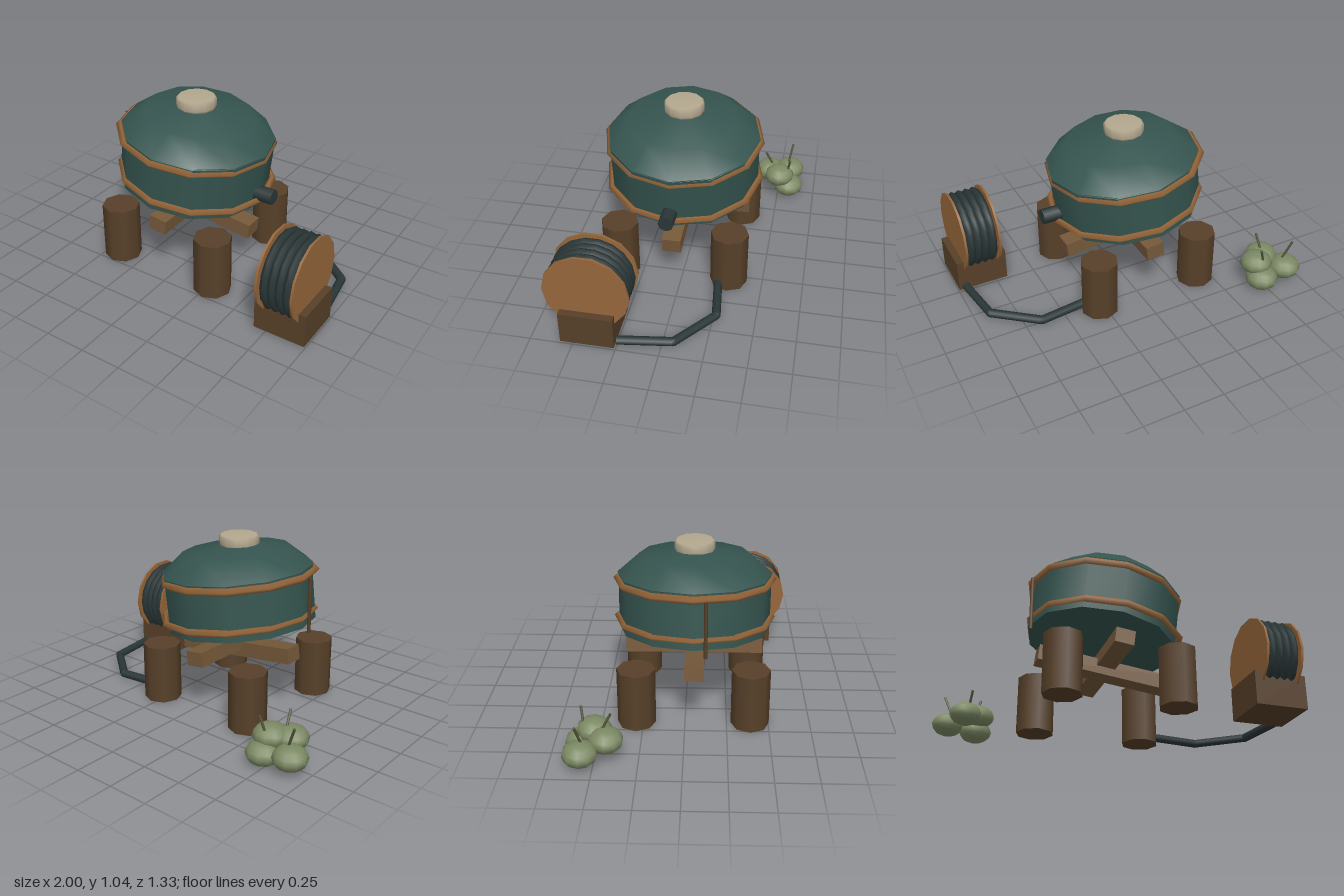
import * as THREE from 'three';

const mat = (name, color) => {
  const m = new THREE.MeshStandardMaterial({ color });
  m.name = name;
  return m;
};

export function createModel() {
  const teal = mat('teal enamel', 0x35544f);
  const copper = mat('copper', 0x96663a);
  const timber = mat('dark timber', 0x574029);
  const beamWood = mat('beam wood', 0x755839);
  const rubber = mat('black rubber', 0x2a3637);
  const bone = mat('pale lid', 0xb3a78e);
  const green = mat('gourd green', 0x7b8963);
  const stemMat = mat('stem', 0x56573f);

  const model = new THREE.Group();
  const add = (name, geo, material, x = 0, y = 0, z = 0, parent = model) => {
    const mesh = new THREE.Mesh(geo, material);
    mesh.name = name;
    mesh.position.set(x, y, z);
    parent.add(mesh);
    return mesh;
  };
  // Straight round bar between two points
  const bar = (name, a, b, r, material, sides = 8) => {
    const p = new THREE.Vector3(...a), q = new THREE.Vector3(...b);
    const d = q.clone().sub(p);
    const mesh = add(name, new THREE.CylinderGeometry(r, r, d.length(), sides), material);
    mesh.position.copy(p).add(q).multiplyScalar(0.5);
    mesh.quaternion.setFromUnitVectors(new THREE.Vector3(0, 1, 0), d.normalize());
    return mesh;
  };
  const lathe = (pts, sides) =>
    new THREE.LatheGeometry(pts.map(p => new THREE.Vector2(...p)), sides);

  const CX = -0.06, CZ = 0.05, TILT = -0.122;

  // Leaning tank with a domed top
  const body = add('tankBody', new THREE.CylinderGeometry(0.462, 0.46, 0.34, 12), teal, CX, 0.665, CZ);
  const dome = add('tankDome', lathe([[0.462, -0.005], [0.468, 0], [0.33, 0.12], [0, 0.17]], 12),
    teal, -0.045, 0.83, CZ);
  dome.material.side = THREE.DoubleSide;
  body.rotation.z = dome.rotation.z = TILT;

  // Hoops around the tank
  for (const [name, y] of [['lowerHoop', 0.55], ['upperHoop', 0.8]]) {
    const geo = new THREE.TorusGeometry(0.468, 0.023, 4, 12).rotateX(Math.PI / 2);
    add(name, geo, copper, CX, y, CZ).rotation.z = TILT;
  }

  // Lid, spout and side rod
  add('lid', lathe([[0, -0.035], [0.115, -0.035], [0.122, -0.02], [0.122, 0.022], [0.11, 0.033], [0, 0.033]], 12),
    bone, CX, 1.012, CZ);
  add('spout', new THREE.CylinderGeometry(0.047, 0.047, 0.13, 8).rotateZ(Math.PI / 2), rubber, 0.427, 0.532, 0.057);
  bar('sideRod', [-0.535, 0.505, 0.12], [-0.535, 0.85, 0.12], 0.011, timber, 6);

  // Four posts
  for (const sx of [-1, 1]) for (const sz of [-1, 1])
    add('post', new THREE.CylinderGeometry(0.115, 0.115, 0.36, 8), timber, CX + sx * 0.34, 0.18, CZ + sz * 0.34);

  // Crossed beams
  add('crossBeam', new THREE.BoxGeometry(0.84, 0.095, 0.115), beamWood, CX, 0.32, 0.055).rotation.z = TILT;
  add('longBeam', new THREE.BoxGeometry(0.115, 0.09, 0.84), beamWood, CX, 0.366, CZ).rotation.z = TILT;

  // Hose reel on its base
  add('reelBase', new THREE.BoxGeometry(0.318, 0.204, 0.315), timber, 0.837, 0.111, 0.415);
  const reel = new THREE.Group();
  reel.name = 'hoseReel';
  reel.position.set(0.837, 0.35, 0.415);
  model.add(reel);
  const disc = (r, w) => new THREE.CylinderGeometry(r, r, w, 14).rotateZ(Math.PI / 2);
  add('drum', disc(0.215, 0.19), rubber, 0, 0, 0, reel);
  for (const s of [-1, 1])
    add('reelFlange', disc(0.25, 0.014), copper, s * 0.108, 0, 0, reel);
  for (let i = 0; i < 4; i++)
    add('hoseCoil', new THREE.TorusGeometry(0.217, 0.026, 6, 18).rotateY(Math.PI / 2), rubber,
      -0.069 + i * 0.046, 0, 0, reel);

  // Hose lying on the ground
  const path = [[0.3, 0.035, -0.23], [0.655, 0.035, -0.272], [0.91, 0.035, -0.068], [0.955, 0.035, 0.25]];
  for (let i = 0; i < 3; i++) bar('hose', path[i], path[i + 1], 0.026, rubber);
  for (const p of path.slice(1, 3)) add('hoseJoint', new THREE.SphereGeometry(0.026, 8, 6), rubber, ...p);

  // Pile of gourds
  for (const [x, y, z] of [[-0.898, 0.1, -0.565], [-0.725, 0.072, -0.57], [-0.81, 0.135, -0.43], [-0.722, 0.15, -0.503]])
    add('gourd', new THREE.SphereGeometry(0.101, 10, 8).scale(1, 0.7, 1), green, x, y, z);
  bar('stem', [-0.875, 0.15, -0.555], [-0.93, 0.285, -0.58], 0.008, stemMat, 5);
  bar('stem', [-0.75, 0.13, -0.553], [-0.7, 0.285, -0.575], 0.008, stemMat, 5);
  bar('stem', [-0.79, 0.19, -0.45], [-0.78, 0.285, -0.4], 0.008, stemMat, 5);

  return model;
}
